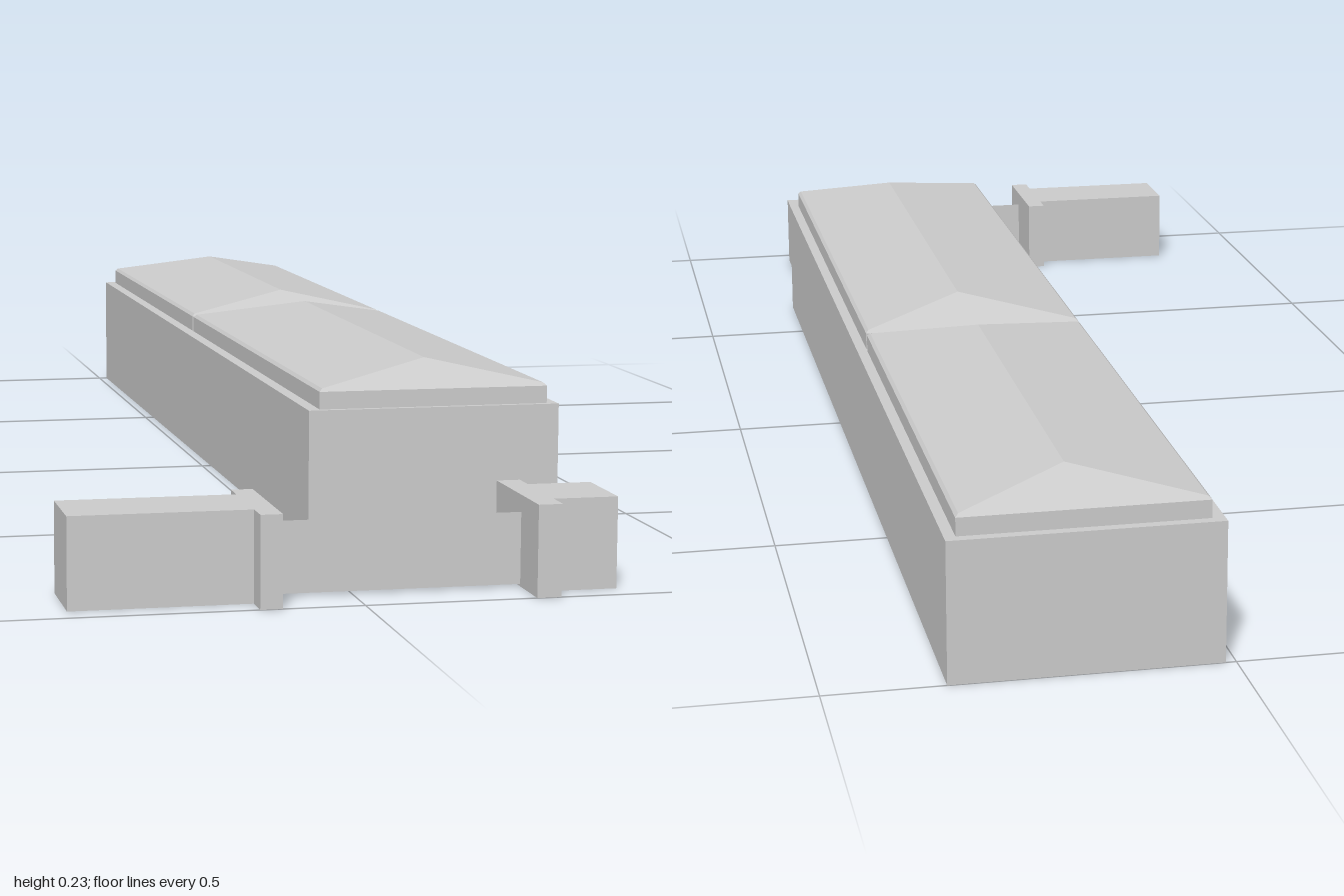
import * as THREE from 'three';

const material = new THREE.MeshStandardMaterial({ color: 0xcccccc, flatShading: true, side: THREE.DoubleSide });

// Corners of a rectangle in plan, counter-clockwise seen from above
const rect = (x0, x1, z0, z1) => [[x0, z1], [x1, z1], [x1, z0], [x0, z0]];

// Skin a stack of { y, plan } rings with flat faces; the underside stays open
function loft(name, rings, capTop = true) {
  const triangles = [];
  const point = (ring, i) => new THREE.Vector3(ring.plan[i][0], ring.y, ring.plan[i][1]);
  const add = (a, b, c) => {
    if (new THREE.Triangle(a, b, c).getArea() > 1e-8) triangles.push(a, b, c);
  };
  for (let r = 0; r < rings.length - 1; r++) {
    const low = rings[r], high = rings[r + 1], n = low.plan.length;
    for (let i = 0; i < n; i++) {
      const j = (i + 1) % n;
      add(point(low, i), point(low, j), point(high, j));
      add(point(low, i), point(high, j), point(high, i));
    }
  }
  if (capTop) {
    const top = rings[rings.length - 1];
    const contour = top.plan.map(([x, z]) => new THREE.Vector2(x, -z));
    for (const [a, b, c] of THREE.ShapeUtils.triangulateShape(contour, [])) {
      add(point(top, a), point(top, b), point(top, c));
    }
  }
  const geometry = new THREE.BufferGeometry().setFromPoints(triangles);
  geometry.computeVertexNormals();
  const mesh = new THREE.Mesh(geometry, material);
  mesh.name = name;
  return mesh;
}

const prism = (name, plan, height) => loft(name, [{ y: 0, plan }, { y: height, plan }]);

// Hipped roof: upright curb, small chamfer, then slopes to a ridge
function hipRoof(name, z0, z1) {
  const x0 = 0.029, x1 = 0.336, ridgeX = 0.191, chamfer = 0.004, hip = 0.082;
  return loft(name, [
    { y: 0.18, plan: rect(x0, x1, z0, z1) },
    { y: 0.203, plan: rect(x0, x1, z0, z1) },
    { y: 0.207, plan: rect(x0 + chamfer, x1 - chamfer, z0 + chamfer, z1 - chamfer) },
    { y: 0.234, plan: rect(ridgeX, ridgeX, z0 + hip, z1 - hip) },
  ], false);
}

export function createModel() {
  const model = new THREE.Group();
  model.name = 'hallWithGate';

  // Long hall with two roofs end to end
  const hall = new THREE.Group();
  hall.name = 'hall';
  hall.add(
    prism('hallWalls', rect(0.013, 0.35, -1, 0.65), 0.18),
    hipRoof('frontRoof', -0.219, 0.642),
    hipRoof('backRoof', -0.987, -0.229),
  );
  model.add(hall);

  // Gate piers: T-shaped plans, wide flange facing the opening
  const gate = new THREE.Group();
  gate.name = 'gate';
  gate.add(
    prism('rightPier', [
      [-0.35, 0.965], [-0.127, 0.965], [-0.127, 1], [-0.1, 1],
      [-0.1, 0.83], [-0.127, 0.83], [-0.127, 0.862], [-0.35, 0.862],
    ], 0.113),
    prism('leftPier', [
      [0.322, 0.862], [0.241, 0.862], [0.241, 0.83], [0.211, 0.83],
      [0.211, 1], [0.241, 1], [0.241, 0.965], [0.322, 0.965],
    ], 0.113),
  );

  // Thin gate leaf between the piers
  const leaf = new THREE.Mesh(new THREE.PlaneGeometry(0.311, 0.089), material);
  leaf.name = 'gateLeaf';
  leaf.position.set(0.0555, 0.0475, 0.932);
  gate.add(leaf);
  model.add(gate);

  return model;
}
